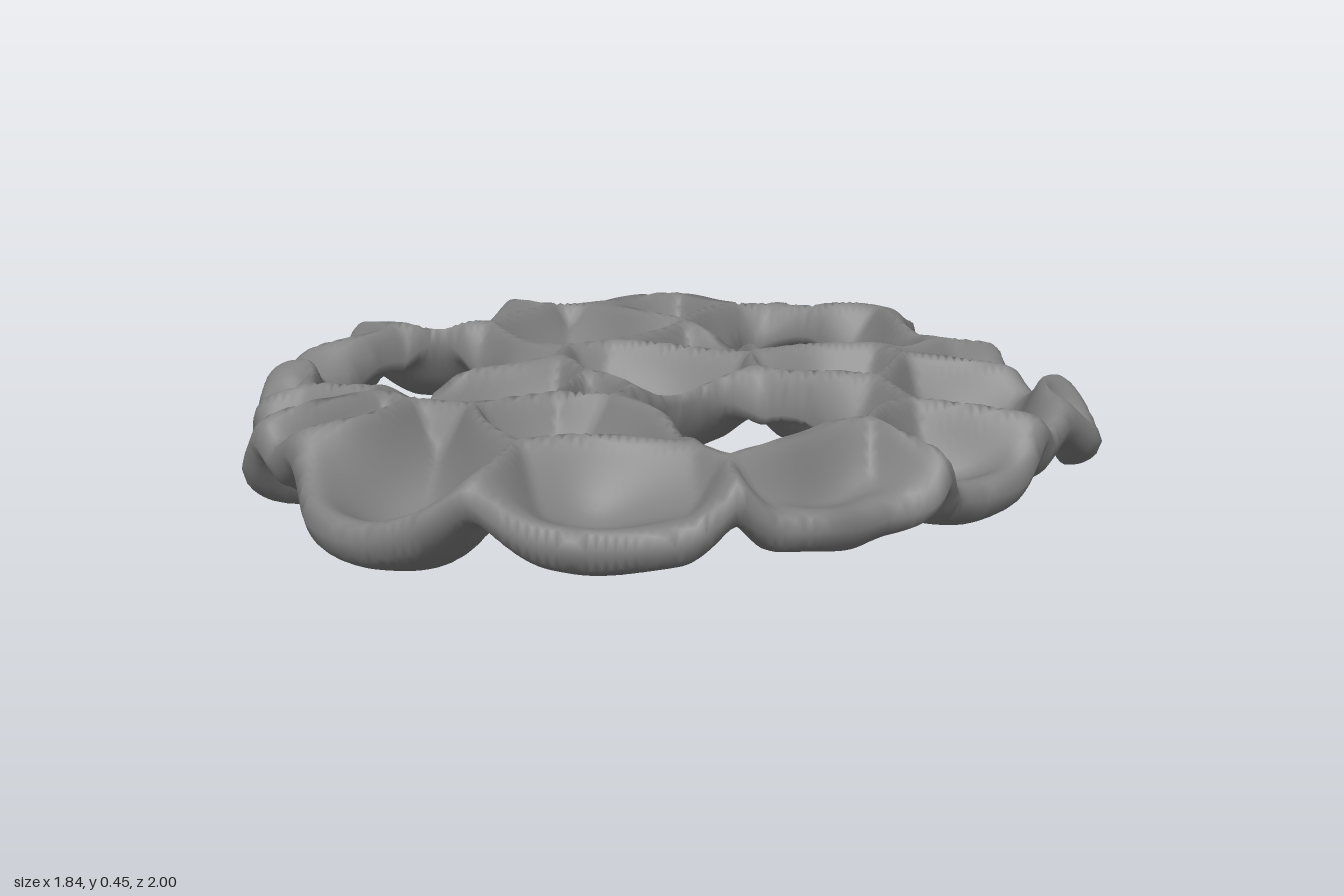
import * as THREE from 'three';

// Closed smooth outline from a few x,z pairs
function outline(p) {
  const pts = [];
  for (let i = 0; i < p.length; i += 2) pts.push(new THREE.Vector3(p[i], 0, p[i + 1]));
  return new THREE.CatmullRomCurve3(pts, true).getPoints(pts.length * 6);
}

const RIM = outline([
  -.13, -.97, -.09, -1, -.05, -.92, .16, -.92, .3, -.85, .46, -.77, .51, -.68, .59, -.61, .72, -.635, .83, -.56, .85, -.42,
  .9, -.2, .88, -.05, .92, .06, .87, .16, .87, .31, .79, .47, .72, .6, .61, .73, .48, .84, .35, .95,
  .19, 1, .03, .95, -.2, .94, -.29, .86, -.44, .79, -.58, .68, -.63, .59, -.72, .55, -.79, .4, -.86, .32,
  -.915, .14, -.9, -.05, -.89, -.29, -.81, -.44, -.71, -.57, -.58, -.7, -.47, -.81, -.34, -.82, -.23, -.89]);
const HOLES = [
  [-.29, -.58, -.18, -.68, -.05, -.69, .09, -.67, .2, -.66, .24, -.56, .19, -.45, .06, -.33, -.07, -.32, -.21, -.37, -.26, -.48],
  [.41, -.13, .51, -.08, .6, 0, .63, .1, .66, .23, .62, .33, .53, .35, .43, .3, .32, .25, .21, .19, .19, .08, .23, -.03, .31, -.1],
  [-.62, .17, -.52, .14, -.4, .17, -.31, .25, -.23, .35, -.19, .46, -.18, .56, -.22, .64, -.31, .67, -.44, .61, -.55, .52, -.63, .41, -.65, .3],
].map(outline);

// Hollows: x, z, radius, depth (the first three lie in the openings)
const PITS = [
  [-.02, -.52, .26, .18], [.43, .11, .26, .18], [-.42, .4, .29, .17],
  [-.45, -.38, .15, .21], [-.7, -.4, .13, .17], [-.4, -.12, .2, .15], [-.76, .05, .18, .17],
  [-.1, -.21, .13, .18], [.08, .05, .17, .16], [.12, .27, .08, .23], [-.05, .43, .17, .2], [.33, .47, .19, .18],
  [.2, .8, .2, .18], [.62, -.42, .19, .2], [.42, -.6, .13, .17], [.27, -.3, .13, .14], [.1, -.8, .12, .13],
  [.58, .66, .17, .16], [.8, -.12, .11, .17], [.81, .2, .11, .15], [-.45, .67, .1, .16], [-.21, .82, .1, .18],
  [-.02, .82, .1, .15], [-.5, -.7, .1, .15], [-.2, -.83, .11, .12], [-.78, .38, .1, .15], [.76, -.55, .1, .15]];

// Nearest point on an outline, its distance, and whether x,z lies inside
function nearest(x, z, loop) {
  let best = Infinity, px = 0, pz = 0, inside = false;
  for (let i = 0; i < loop.length - 1; i++) {
    const a = loop[i], b = loop[i + 1], dx = b.x - a.x, dz = b.z - a.z;
    const t = Math.min(1, Math.max(0, ((x - a.x) * dx + (z - a.z) * dz) / (dx * dx + dz * dz || 1)));
    const qx = a.x + dx * t, qz = a.z + dz * t, d = (x - qx) ** 2 + (z - qz) ** 2;
    if (d < best) { best = d; px = qx; pz = qz; }
    if ((a.z > z) !== (b.z > z) && x < a.x + dx * (z - a.z) / dz) inside = !inside;
  }
  return { d: Math.sqrt(best), px, pz, inside };
}

// Upper and lower height: round bowls separated by soft raised cell walls
function heights(x, z, rimDistance) {
  const wx = x + 0.018 * Math.sin(13 * z + 1), wz = z + 0.018 * Math.sin(12 * x + 2);
  const cells = PITS.map(([px, pz, r, h]) => ({ d: Math.hypot(wx - px, wz - pz) - r, r, h }))
    .sort((a, b) => a.d - b.d);
  let sum = 0, depth = 0, radius = 0, centre = 0;
  for (const { d, r, h } of cells) {
    const w = Math.exp((cells[0].d - d) / 0.035);
    sum += w;
    depth += w * h;
    radius += w * r;
    centre += w * Math.exp(-(((d + r) / (0.8 * r)) ** 2));
  }
  const gap = Math.hypot(cells[1].d - cells[0].d, 0.03) - 0.03;
  const wall = 1 - Math.min(1, gap * sum / (1.4 * radius));
  const drop = depth / sum * (1 - wall ** 2.4) * (0.84 + 0.16 * centre / sum);
  const lip = Math.exp(-((rimDistance / 0.1) ** 2));
  const wave = 0.012 * Math.sin(9 * x + 2) * Math.sin(8 * z + 1);
  const base = 0.437 + wave - 0.05 * Math.exp(-((x - .09) ** 2 + (z - .06) ** 2) / 0.0012);
  return [base - drop * (1 - 0.45 * lip) - 0.025 * lip,
    base - drop * (1 - 0.1 * lip) - 0.068 - 0.055 * wall * wall];
}

// Closed sheet on a grid whose border points are pulled onto the outlines
function sheetGeometry(step) {
  const n = Math.ceil(2.08 / step), grid = [], pos = [], index = [];
  for (let k = 0; k <= n; k++) for (let i = 0; i <= n; i++) {
    const x = -1.04 + i * step, z = -1.04 + k * step;
    const rim = nearest(x, z, RIM);
    let edge = rim, m = rim.inside ? rim.d : -rim.d;
    for (const hole of HOLES) {
      const h = nearest(x, z, hole), s = h.inside ? -h.d : h.d;
      if (s < m) { m = s; edge = h; }
    }
    const border = m < 0.4 * step;
    grid.push({ x: border ? edge.px : x, z: border ? edge.pz : z, m, border,
      rim: border && edge === rim ? 0 : rim.d });
  }
  const place = (g) => {
    if (g.top !== undefined) return;
    const [t, b] = heights(g.x, g.z, g.rim), mid = (t + b) / 2;
    const e = g.border ? 0 : Math.sqrt(1 - (1 - Math.min(1, g.m / 0.055)) ** 2);
    g.top = g.low = pos.length / 3;
    pos.push(g.x, mid + (t - mid) * e, g.z);
    if (!g.border) {
      g.low = pos.length / 3;
      pos.push(g.x, mid + (b - mid) * e, g.z);
    }
  };
  for (let k = 0; k < n; k++) for (let i = 0; i < n; i++) {
    const a = grid[k * (n + 1) + i], b = grid[k * (n + 1) + i + 1];
    const d = grid[(k + 1) * (n + 1) + i], c = grid[(k + 1) * (n + 1) + i + 1];
    for (const tri of (i + k) % 2 ? [[a, d, c], [a, c, b]] : [[a, d, b], [b, d, c]]) {
      if (tri.every((g) => g.border)) continue;
      tri.forEach(place);
      const [p, q, r] = tri;
      index.push(p.top, q.top, r.top, p.low, r.low, q.low);
    }
  }
  const geo = new THREE.BufferGeometry();
  geo.setAttribute('position', new THREE.Float32BufferAttribute(pos, 3));
  geo.setIndex(index);
  geo.computeVertexNormals();
  return geo;
}

export function createModel() {
  const group = new THREE.Group();
  const material = new THREE.MeshStandardMaterial({ color: 0x808080 });

  // Pitted disc with three openings
  const disc = new THREE.Mesh(sheetGeometry(0.0125), material);
  disc.name = 'pittedDisc';
  group.add(disc);

  // Hanging drip below the middle
  const profile = new THREE.SplineCurve([[0, 0], [.025, .007], [.042, .04], [.05, .1], [.056, .16], [.068, .235]]
    .map(([r, y]) => new THREE.Vector2(r, y))).getPoints(24);
  const drip = new THREE.Mesh(new THREE.LatheGeometry(profile, 28), material);
  drip.name = 'drip';
  drip.position.set(.09, 0, .06);
  group.add(drip);

  return group;
}
